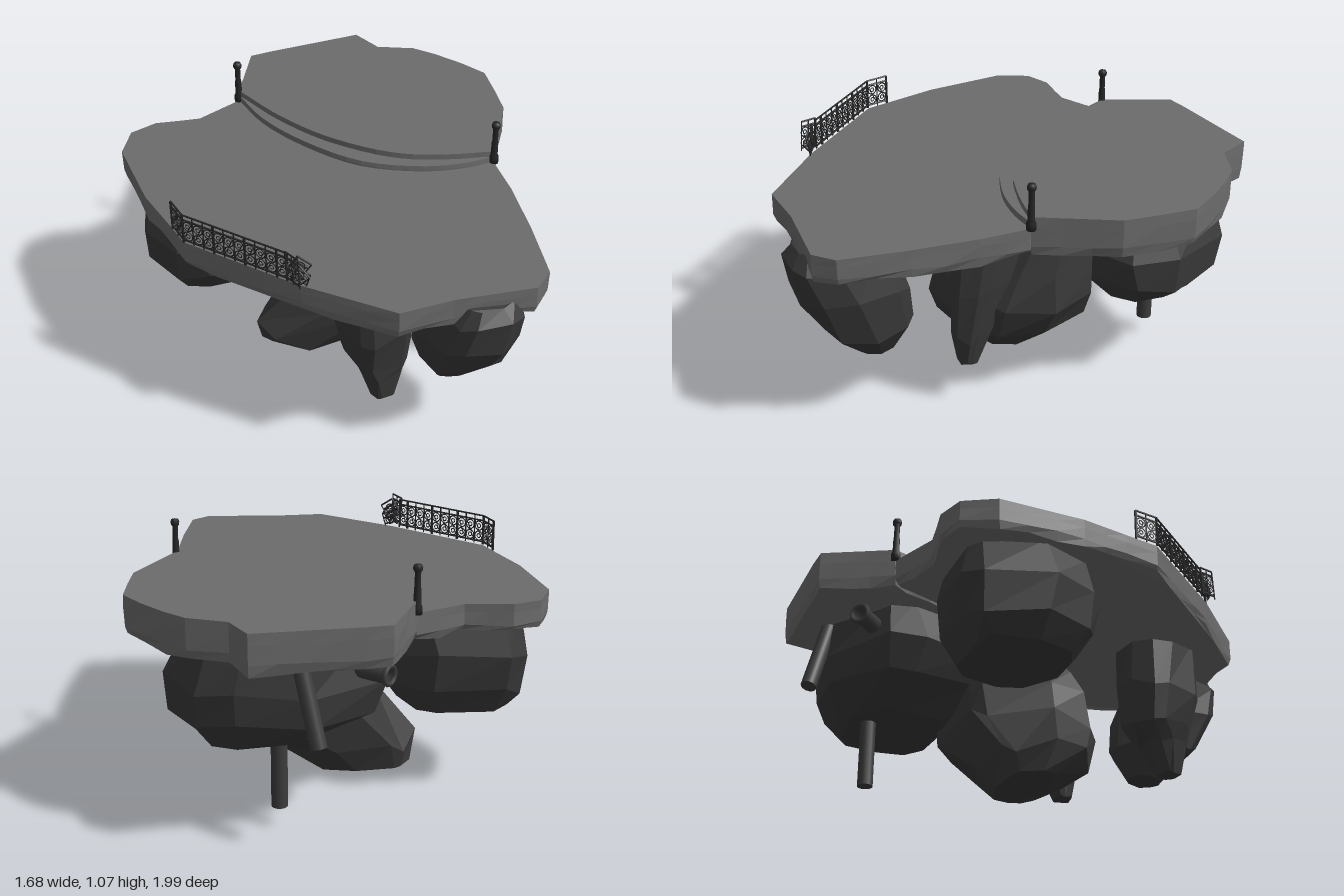
import * as THREE from 'three';

const mat = (name, color, side = THREE.FrontSide) => {
  const m = new THREE.MeshStandardMaterial({ color, side });
  m.name = name;
  return m;
};

// Small seeded random, -1..1
function seeded(seed) {
  let s = seed * 7919 + 17;
  return () => {
    s = (s * 16807) % 2147483647;
    return (s / 2147483647) * 2 - 1;
  };
}

// Faceted solid from closed rings listed top to bottom (counter-clockwise from above)
function loft(rings) {
  const pos = [];
  const tri = (a, b, c) => pos.push(...a.toArray(), ...b.toArray(), ...c.toArray());
  const n = rings[0].length;
  for (let r = 0; r < rings.length - 1; r++) {
    for (let i = 0; i < n; i++) {
      const j = (i + 1) % n, top = rings[r], low = rings[r + 1];
      tri(top[i], low[i], top[j]);
      tri(top[j], low[i], low[j]);
    }
  }
  const cap = (ring, up) => {
    const flat = ring.map(p => new THREE.Vector2(p.x, -p.z));
    for (const [a, b, c] of THREE.ShapeUtils.triangulateShape(flat, [])) {
      const ccw = THREE.ShapeUtils.area([flat[a], flat[b], flat[c]]) > 0;
      if (ccw === up) tri(ring[a], ring[b], ring[c]);
      else tri(ring[a], ring[c], ring[b]);
    }
  };
  cap(rings[0], true);
  cap(rings[rings.length - 1], false);
  const g = new THREE.BufferGeometry();
  g.setAttribute('position', new THREE.Float32BufferAttribute(pos, 3));
  g.computeVertexNormals();
  return g;
}

// Rough rock from rings of [y, centre x, centre z, radius x, radius z]
function rock(rows, seed, sides = 10) {
  const rnd = seeded(seed);
  const soft = v => Math.sign(v) * Math.abs(v) ** 0.85;
  const turns = Array.from({ length: sides }, (_, i) => ((i + 0.3 * rnd()) / sides) * Math.PI * 2);
  return loft(rows.map(([y, cx, cz, rx, rz], r) => turns.map(turn => {
    const a = turn + 0.06 * rnd();
    const k = 0.985 + 0.025 * rnd();
    const dy = r === 0 || r === rows.length - 1 ? 0.008 : 0.03;
    return new THREE.Vector3(cx + soft(Math.cos(a)) * rx * k, y + rnd() * dy, cz - soft(Math.sin(a)) * rz * k);
  })));
}

// Stone slab with a chipped lower edge
function slab(outline, top, bottom, seed, rough = 0.012) {
  const rnd = seeded(seed);
  const pts = [];
  outline.forEach(([x, z], i) => {
    const [x2, z2] = outline[(i + 1) % outline.length];
    const steps = Math.max(1, Math.round(Math.hypot(x2 - x, z2 - z) / 0.12));
    for (let s = 0; s < steps; s++) {
      pts.push(new THREE.Vector2(x + (x2 - x) * s / steps, z + (z2 - z) * s / steps));
    }
  });
  if (THREE.ShapeUtils.area(pts.map(p => new THREE.Vector2(p.x, -p.y))) < 0) pts.reverse();
  const c = pts.reduce((a, p) => a.add(p), new THREE.Vector2()).divideScalar(pts.length);
  const ring = (y, inset, jitter) => pts.map(p => {
    const q = p.clone().sub(c);
    q.setLength(q.length() - inset - Math.abs(rnd()) * jitter).add(c);
    return new THREE.Vector3(q.x, y + rnd() * jitter, q.y);
  });
  const h = top - bottom;
  return loft([ring(top, 0.002, 0), ring(top - h * 0.3, 0, rough * 0.3),
    ring(bottom + h * 0.25, 0, rough * 0.5), ring(bottom, 0.006, rough)]);
}

export function createModel() {
  const group = new THREE.Group();
  const stone = mat('pavedStone', 0x6c6c6c);
  const rockMat = mat('darkRock', 0x393939);
  const metal = mat('pipeMetal', 0x3c3c3c, THREE.DoubleSide);
  const iron = mat('blackIron', 0x262626);
  const add = (name, geo, material, parent = group) => {
    const m = new THREE.Mesh(geo, material);
    m.name = name;
    parent.add(m);
    return m;
  };
  // Round bar between two points
  const bar = (name, a, b, r, material, parent = group, sides = 5, open = false) => {
    const from = new THREE.Vector3(...a), to = new THREE.Vector3(...b), d = to.clone().sub(from);
    const m = add(name, new THREE.CylinderGeometry(r, r, d.length(), sides, 1, open), material, parent);
    m.position.copy(from).lerp(to, 0.5);
    m.quaternion.setFromUnitVectors(new THREE.Vector3(0, 1, 0), d.normalize());
    return m;
  };

  // Terraces: wide lower floor, upper floor and a curved step between them
  const lower = [[-0.25, -0.72], [-0.46, -0.64], [-0.55, -0.655], [-0.65, -0.675], [-0.77, -0.64],
    [-0.845, -0.51], [-0.84, -0.15], [-0.805, 0.05], [-0.78, 0.2], [-0.45, 0.62], [-0.17, 0.905],
    [0.05, 0.91], [0.37, 0.96], [0.455, 0.895], [0.52, 0.62], [0.57, 0.35], [0.59, 0.145]];
  const back = [[-0.25, -0.72], [-0.1, -0.995], [0, -1], [0.43, -1], [0.48, -0.855], [0.63, -0.78],
    [0.7, -0.695], [0.78, -0.57], [0.84, -0.45], [0.815, -0.3], [0.785, -0.15], [0.59, 0.145]];
  const curve = pts => new THREE.CatmullRomCurve3(pts.map(([x, z]) => new THREE.Vector3(x, 0, z)))
    .getPoints(24).slice(1, -1).map(p => [p.x, p.z]);
  const A = [-0.25, -0.72], B = [0.59, 0.145];
  const innerArc = curve([B, [0.39, 0.09], [0.2, 0], [-0.01, -0.21], [-0.15, -0.45], A]);
  const outerArc = curve([B, [0.46, 0.145], [0.29, 0.105], [0.06, -0.03], [-0.11, -0.26], [-0.215, -0.5], A]);
  add('lowerTerrace', slab(lower, 0.875, 0.76, 3), stone);
  add('upperTerrace', slab([...back, ...innerArc], 0.925, 0.76, 5), stone);
  add('curvedStep', slab([A, B, ...outerArc], 0.9, 0.84, 7, 0), stone);

  // Hanging rocks
  const rocks = {
    sideRock: [[0.78, -0.5, -0.3, 0.29, 0.29], [0.63, -0.525, -0.3, 0.31, 0.32], [0.47, -0.52, -0.3, 0.3, 0.3],
      [0.37, -0.52, -0.31, 0.24, 0.22]],
    deepRock: [[0.78, 0.24, -0.08, 0.3, 0.2], [0.6, 0.19, -0.05, 0.38, 0.27], [0.45, 0.17, -0.03, 0.4, 0.32],
      [0.33, 0.13, -0.02, 0.37, 0.33], [0.11, -0.1, -0.06, 0.32, 0.22], [0.01, -0.18, -0.12, 0.21, 0.1]],
    frontSpike: [[0.78, -0.12, 0.54, 0.15, 0.17], [0.56, -0.12, 0.54, 0.15, 0.18], [0.4, -0.11, 0.53, 0.13, 0.15],
      [0.32, -0.1, 0.57, 0.095, 0.1], [0.195, -0.1, 0.6, 0.05, 0.05]],
    frontRock: [[0.82, 0.2, 0.88, 0.11, 0.08], [0.76, 0.2, 0.82, 0.17, 0.185], [0.6, 0.19, 0.74, 0.2, 0.24],
      [0.42, 0.19, 0.68, 0.17, 0.2], [0.275, 0.18, 0.63, 0.07, 0.08]],
    cornerSpike: [[0.78, 0.37, 0.18, 0.1, 0.18], [0.55, 0.37, 0.23, 0.09, 0.14], [0.33, 0.36, 0.28, 0.07, 0.09],
      [0.2, 0.36, 0.3, 0.045, 0.045]],
    backRock: [[0.79, 0.26, -0.52, 0.36, 0.33], [0.62, 0.26, -0.52, 0.45, 0.36], [0.48, 0.28, -0.52, 0.41, 0.34],
      [0.37, 0.32, -0.52, 0.27, 0.21]],
  };
  Object.entries(rocks).forEach(([name, rows], i) => add(name, rock(rows, i + 2), rockMat));

  // Drain pipes
  bar('verticalPipe', [0.27, 0.55, -0.645], [0.27, 0.085, -0.645], 0.033, metal, group, 14);
  bar('slantedPipe', [0.225, 0.78, -0.85], [0.165, 0.445, -0.94], 0.033, metal, group, 14);
  bar('outletPipe', [0.04, 0.67, -0.65], [-0.125, 0.67, -0.82], 0.036, metal, group, 14, true);
  const rim = add('outletRim', new THREE.TorusGeometry(0.036, 0.01, 6, 16), metal);
  rim.position.set(-0.125, 0.67, -0.82);
  rim.rotation.y = Math.atan2(-0.165, -0.17);

  // Gate posts at both ends of the step
  const profile = [[0, 0], [0.02, 0], [0.02, 0.03], [0.015, 0.04], [0.014, 0.1], [0.012, 0.11], [0.012, 0.165],
    [0.018, 0.172], [0.019, 0.184], [0.015, 0.194], [0, 0.197]].map(p => new THREE.Vector2(...p));
  for (const [x, z] of [A, B]) {
    add('gatePost', new THREE.LatheGeometry(profile, 10), iron).position.set(x, 0.872, z);
  }

  // Ornate railing panel running along its own +x
  const ringGeo = new THREE.TorusGeometry(0.021, 0.0028, 4, 10);
  const smallRing = new THREE.TorusGeometry(0.009, 0.0025, 4, 8);
  function railing(name, length, height, scrollRows) {
    const g = new THREE.Group();
    g.name = name;
    for (const y of [0.012, height - 0.022, height]) bar('rail', [0, y, 0], [length, y, 0], 0.004, iron, g);
    const n = Math.max(1, Math.round(length / 0.046)), w = length / n;
    for (let i = 0; i <= n; i++) {
      bar('upright', [i * w, 0, 0], [i * w, height, 0], i % 3 === 0 ? 0.0055 : 0.003, iron, g);
      if (i === n) break;
      for (const y of scrollRows) {
        add('scroll', ringGeo, iron, g).position.set((i + 0.5) * w, y, 0);
        add('scrollHeart', smallRing, iron, g).position.set((i + 0.5) * w, y, 0);
      }
      bar('brace', [i * w, 0.012, 0], [(i + 1) * w, height - 0.022, 0], 0.002, iron, g);
    }
    group.add(g);
    return g;
  }
  const runs = [[-0.793, 0.1, -0.778, 0.202], [-0.778, 0.202, -0.484, 0.577]];
  for (const [x1, z1, x2, z2] of runs) {
    const g = railing('railing', Math.hypot(x2 - x1, z2 - z1), 0.13, [0.036, 0.082]);
    g.position.set(x1, 0.878, z1);
    g.rotation.y = -Math.atan2(z2 - z1, x2 - x1);
  }
  // Broken, bent end of the railing: one upright panel and loose pieces
  const twisted = railing('twistedRailing', 0.075, 0.13, [0.036, 0.082]);
  twisted.position.set(-0.488, 0.885, 0.583);
  twisted.rotation.set(0, -1.25, 0.08);
  [[-0.5, -0.6, 0.955], [-0.9, -0.75, 0.93], [-0.7, -0.3, 0.89]].forEach(([turn, tilt, y], i) => {
    const g = railing('brokenRailing', 0.062, 0.062, [0.028]);
    g.position.set(-0.484 + i * 0.004, y, 0.59);
    g.rotation.set(0, turn, tilt);
  });
  return group;
}
